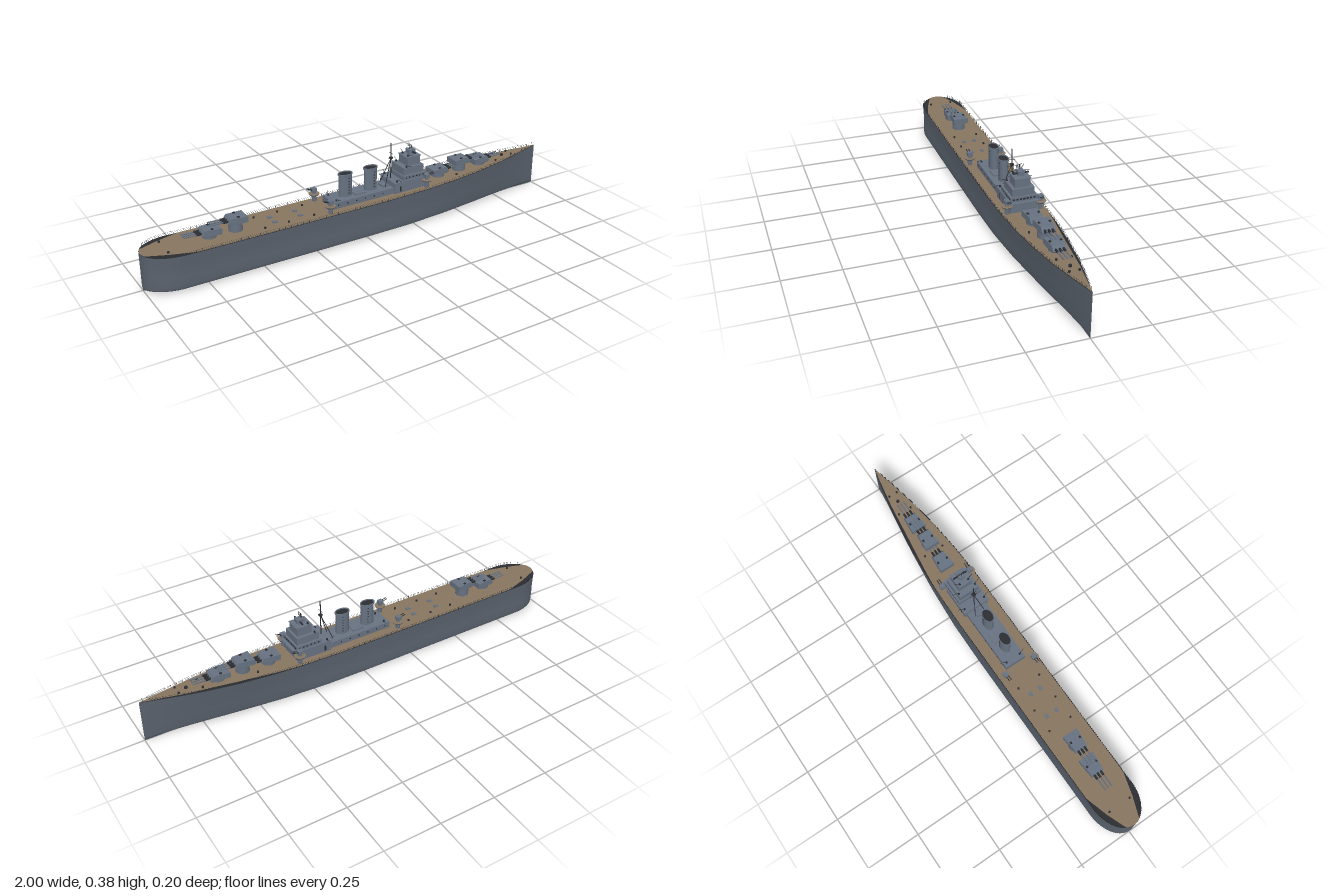
import * as THREE from 'three';
import { mergeGeometries } from 'three/addons/utils/BufferGeometryUtils.js';

const mat = (name, color, side = THREE.FrontSide) => {
  const m = new THREE.MeshStandardMaterial({ color, side });
  m.name = name;
  return m;
};
const V = (x, y, z) => new THREE.Vector3(x, y, z);

// Linear lookup in a list of [x, value]
function lookup(table, x) {
  for (let i = 1; i < table.length; i++) {
    const [x0, v0] = table[i - 1], [x1, v1] = table[i];
    if (x <= x1) return v0 + (v1 - v0) * Math.max(0, (x - x0) / (x1 - x0));
  }
  return table[table.length - 1][1];
}
const deckY = x => lookup([[-1, 0.165], [-0.8, 0.161], [-0.4, 0.159], [0.1, 0.16], [0.35, 0.165], [0.6, 0.174], [0.8, 0.184], [1, 0.196]], x);
const stern = x => (x < -0.85 ? Math.sqrt(Math.max(0, 1 - ((-0.85 - x) / 0.15) ** 2)) : 1);
const deckW = x => stern(x) * lookup([[0.15, 0.1], [0.3, 0.098], [0.45, 0.091], [0.6, 0.077], [0.75, 0.055], [0.88, 0.029], [1, 0]], x);
const keelW = x => stern(x) * lookup([[0, 0.1], [0.2, 0.096], [0.4, 0.08], [0.6, 0.054], [0.8, 0.026], [0.92, 0.01], [1, 0]], x);

// Skin a grid of points, row by row
function skin(rows) {
  const n = rows[0].length, index = [];
  for (let i = 0; i < rows.length - 1; i++) {
    for (let j = 0; j < n - 1; j++) {
      const a = i * n + j, b = a + 1, c = a + n, d = c + 1;
      index.push(a, b, c, b, d, c);
    }
  }
  const g = new THREE.BufferGeometry().setFromPoints(rows.flat());
  g.setIndex(index);
  g.computeVertexNormals();
  return g;
}

// Thin rod between two points
function rod(a, b, r, sides = 5) {
  const d = b.clone().sub(a);
  const g = new THREE.CylinderGeometry(r, r, d.length(), sides);
  g.applyQuaternion(new THREE.Quaternion().setFromUnitVectors(V(0, 1, 0), d.normalize()));
  return g.translate((a.x + b.x) / 2, (a.y + b.y) / 2, (a.z + b.z) / 2);
}

export function createModel() {
  const ship = new THREE.Group();
  const hullGrey = mat('hull grey', 0x59616c);
  const grey = mat('superstructure grey', 0x667180);
  const wood = mat('deck wood', 0x86755f, THREE.DoubleSide);
  const dark = mat('dark fittings', 0x2b2d31, THREE.DoubleSide);

  const add = (name, geo, m, parent = ship) => {
    const mesh = new THREE.Mesh(geo, m);
    mesh.name = name;
    parent.add(mesh);
    return mesh;
  };
  // Box given by its limits
  const box = (name, x0, x1, y0, y1, w, m = grey, z = 0) =>
    add(name, new THREE.BoxGeometry(x1 - x0, y1 - y0, w * 2).translate((x0 + x1) / 2, (y0 + y1) / 2, z), m);
  const drum = (name, x, y0, y1, z, r0, r1, m = grey, sides = 20) =>
    add(name, new THREE.CylinderGeometry(r1, r0, y1 - y0, sides).translate(x, (y0 + y1) / 2, z), m);

  // Hull: stations packed at the rounded stern
  const xs = [];
  for (let i = 0; i <= 14; i++) xs.push(-0.85 - 0.15 * Math.cos((i / 14) * Math.PI / 2));
  for (let i = 1; i <= 37; i++) xs.push(-0.85 + i * 0.05);
  const section = [[1, 1], [0.75, 0.985], [0.5, 0.97], [0.44, 1], [0.2, 1], [0.11, 0.99], [0.08, 0.96], [0.06, 0.85], [0.03, 0.45]];
  add('hull', skin(xs.map(x => {
    const half = section.map(([h, f]) => {
      const t = Math.pow(h, 0.8);
      return V(x, h * deckY(x), f * (keelW(x) + (deckW(x) - keelW(x)) * t));
    });
    const other = half.map(p => V(p.x, p.y, -p.z)).reverse();
    return [...half, V(x, 0, 0), ...other];
  })), hullGrey);

  // Dark waterway with the planked deck just above it
  add('waterway', skin(xs.map(x => [V(x, deckY(x), -deckW(x)), V(x, deckY(x), deckW(x))])), dark);
  const aft = x => lookup([[-1, 0.03], [-0.9, 0.068], [-0.8, 0.097], [-0.7, 0.099]], x);
  const fwd = x => lookup([[0.3, 0.1], [0.45, 0.083], [0.6, 0.063], [0.8, 0.037], [0.95, 0.01], [1, 0]], x);
  add('plankedDeck', skin(xs.map(x => {
    const w = Math.max(0, deckW(x) - 0.002);
    return [V(x, deckY(x) + 0.002, -Math.min(w, aft(x), fwd(x))), V(x, deckY(x) + 0.002, Math.min(w, aft(x)))];
  })), wood);

  // Guard rails
  const rails = [];
  for (const s of [-1, 1]) {
    let last = null;
    for (let x = -0.97; x < 0.99; x += 0.028) {
      const p = V(x, deckY(x), s * (deckW(x) - 0.001));
      rails.push(rod(p, V(p.x, p.y + 0.012, p.z), 0.0006, 4));
      if (last) for (const h of [0.006, 0.012]) {
        rails.push(rod(V(last.x, last.y + h, last.z), V(p.x, p.y + h, p.z), 0.0004, 3));
      }
      last = p;
    }
  }
  add('guardRails', mergeGeometries(rails), dark);

  // Triple main turrets; dir is the way the guns point
  const turret = (name, x, y, dir) => {
    const g = new THREE.Group();
    g.name = name;
    const side = new THREE.Shape([[-0.044, 0], [0.036, 0], [0.044, 0.008], [0.03, 0.028], [-0.044, 0.025]].map(p => new THREE.Vector2(...p)));
    const body = new THREE.ExtrudeGeometry(side, { depth: 0.07, bevelEnabled: false }).translate(0, 0, -0.035);
    // Narrow the gunhouse toward its face
    const pos = body.attributes.position;
    for (let i = 0; i < pos.count; i++) if (pos.getX(i) > 0.02) pos.setZ(i, pos.getZ(i) * 0.82);
    body.computeVertexNormals();
    add('gunhouse', body, grey, g);
    const base = y - deckY(x);
    add('barbette', new THREE.CylinderGeometry(0.03, 0.03, base, 24).translate(0, -base / 2, 0), grey, g);
    for (const z of [-0.016, 0, 0.016]) {
      add('barrel', rod(V(0.03, 0.014, z), V(0.115, 0.017, z), 0.0032, 8), grey, g);
      add('gunSleeve', rod(V(0.03, 0.014, z), V(0.06, 0.015, z), 0.005, 8), dark, g);
    }
    for (const s of [-1, 1]) add('sightHood', new THREE.BoxGeometry(0.01, 0.005, 0.008).translate(-0.005, 0.028, s * 0.023), dark, g);
    g.position.set(x, y, 0);
    if (dir < 0) g.rotation.y = Math.PI;
    ship.add(g);
  };
  turret('forwardTurret', 0.66, 0.188, 1);
  turret('raisedForwardTurret', 0.547, 0.208, 1);
  turret('innerForwardTurret', 0.428, 0.186, 1);
  turret('raisedAftTurret', -0.588, 0.2, -1);
  turret('aftTurret', -0.705, 0.176, -1);

  // Deckhouse and stepped bridge
  box('deckhouse', -0.15, 0.2, 0.155, 0.19, 0.05);
  box('bridgeBase', 0.155, 0.32, 0.155, 0.212, 0.06);
  box('bridgeDeck', 0.15, 0.335, 0.212, 0.216, 0.064);
  box('lowerBridge', 0.2, 0.32, 0.216, 0.236, 0.058);
  box('middleBridge', 0.207, 0.312, 0.236, 0.27, 0.048);
  box('upperBridge', 0.235, 0.302, 0.27, 0.308, 0.034);
  box('bridgeRoof', 0.231, 0.306, 0.308, 0.311, 0.035);
  drum('directorBase', 0.272, 0.31, 0.322, 0, 0.015, 0.013);
  box('director', 0.256, 0.29, 0.32, 0.335, 0.014);
  add('rangefinder', rod(V(0.276, 0.324, -0.034), V(0.276, 0.324, 0.034), 0.004, 8), dark);
  add('radarPost', rod(V(0.265, 0.33, 0), V(0.265, 0.358, 0), 0.0012), dark);
  const grid = [];
  for (let i = 0; i < 5; i++) grid.push(rod(V(0.268, 0.344 + i * 0.004, -0.017), V(0.268, 0.344 + i * 0.004, 0.017), 0.0005, 4));
  for (let i = 0; i < 6; i++) grid.push(rod(V(0.268, 0.344, -0.017 + i * 0.0068), V(0.268, 0.36, -0.017 + i * 0.0068), 0.0005, 4));
  add('radarGrid', mergeGeometries(grid), dark);

  // Bridge windows and side ports
  for (let i = -3; i <= 3; i++) {
    box('frontWindow', 0.3195, 0.321, 0.223, 0.23, 0.0045, dark, i * 0.015);
  }
  for (const s of [-1, 1]) {
    for (let i = 0; i < 6; i++) {
      box('sidePort', 0.212 + i * 0.018, 0.219 + i * 0.018, 0.224, 0.23, 0.0008, dark, s * 0.058);
      box('housePort', -0.13 + i * 0.045, -0.124 + i * 0.045, 0.174, 0.18, 0.0008, dark, s * 0.05);
    }
    box('sideDoor', 0.18, 0.188, 0.17, 0.195, 0.0008, dark, s * 0.06);
  }

  // Oval funnels with dark mouths and rungs
  for (const x of [-0.065, 0.063]) {
    const f = new THREE.Group();
    f.name = 'funnel';
    const wall = [[0.031, 0], [0.031, 0.096], [0.035, 0.098], [0.035, 0.105], [0.031, 0.105], [0.029, 0.09]];
    const profile = new THREE.LatheGeometry(wall.map(p => new THREE.Vector2(...p)), 32).toNonIndexed();
    profile.computeVertexNormals();
    add('funnelCasing', profile, grey, f);
    add('funnelMouth', new THREE.CylinderGeometry(0.0305, 0.0305, 0.002, 32).translate(0, 0.1, 0), dark, f);
    for (let i = 0; i < 6; i++) for (const s of [-1, 1]) {
      add('rung', new THREE.BoxGeometry(0.006, 0.004, 0.002).translate(0.008, 0.015 + i * 0.014, s * 0.0305), dark, f);
    }
    f.position.set(x, 0.19, 0);
    f.scale.z = 0.66;
    ship.add(f);
  }

  // Tripod mast with yards
  const mast = [rod(V(0.17, 0.19, 0), V(0.17, 0.384, 0), 0.0022, 6)];
  for (const s of [-1, 1]) mast.push(rod(V(0.125, 0.19, s * 0.025), V(0.169, 0.31, 0), 0.0016, 6));
  mast.push(rod(V(0.17, 0.335, -0.016), V(0.17, 0.335, 0.016), 0.001));
  mast.push(rod(V(0.17, 0.305, -0.02), V(0.17, 0.305, 0.02), 0.001));
  add('tripodMast', mergeGeometries(mast), dark);
  drum('lookoutPlatform', 0.17, 0.31, 0.315, 0, 0.008, 0.01, dark, 12);

  // Twin gun mounts on round planked sponsons
  for (const x of [-0.18, 0.315]) for (const s of [-1, 1]) {
    const y = x > 0 ? 0.203 : 0.196, z = s * 0.073;
    drum('sponsonColumn', x, 0.155, y - 0.006, z, 0.009, 0.011);
    drum('sponson', x, y - 0.006, y, z, 0.021, 0.025);
    drum('sponsonPlanking', x, y, y + 0.001, z, 0.024, 0.024, wood);
    drum('mountPedestal', x, y, y + 0.012, z, 0.009, 0.008);
    box('gunShield', x - 0.012, x + 0.01, y + 0.009, y + 0.026, 0.011, grey, z);
    for (const o of [-0.005, 0.005]) {
      add('smallGun', rod(V(x, y + 0.018, z + o), V(x + Math.sign(x) * 0.034, y + 0.027, z + o), 0.0018), dark);
    }
  }

  // Light guns on the bridge steps and around the house
  for (const [x, y, z] of [[0.225, 0.27, 0.042], [0.225, 0.27, -0.042], [0.245, 0.311, 0.022], [0.245, 0.311, -0.022], [0.17, 0.216, 0.052], [0.17, 0.216, -0.052], [-0.13, 0.19, 0.035], [-0.13, 0.19, -0.035]]) {
    drum('lightGunBase', x, y, y + 0.008, z, 0.005, 0.003, dark, 8);
    add('lightGun', rod(V(x, y + 0.008, z), V(x + 0.008, y + 0.011, z + Math.sign(z) * 0.025), 0.001), dark);
  }
  box('skylight', 0.115, 0.145, 0.19, 0.198, 0.02);
  box('aftLocker', -0.03, 0.025, 0.19, 0.196, 0.03);

  // Vents, hatches and bollards on the open deck
  for (const s of [-1, 1]) {
    for (const x of [-0.9, -0.48, -0.37, -0.25, 0.5, 0.74, 0.84]) {
      const z = s * Math.min(0.055, deckW(x) * 0.55);
      drum('bollard', x, deckY(x), deckY(x) + 0.009, z, 0.004, 0.005, dark, 10);
    }
    for (const x of [-0.42, -0.3]) box('hatch', x - 0.01, x + 0.01, deckY(x), deckY(x) + 0.007, 0.007, grey, s * 0.025);
  }
  drum('capstan', 0.8, deckY(0.8), deckY(0.8) + 0.01, 0, 0.008, 0.006, dark, 12);
  add('jackstaff', rod(V(0.985, 0.193, 0), V(0.985, 0.215, 0), 0.0008), dark);
  return ship;
}
